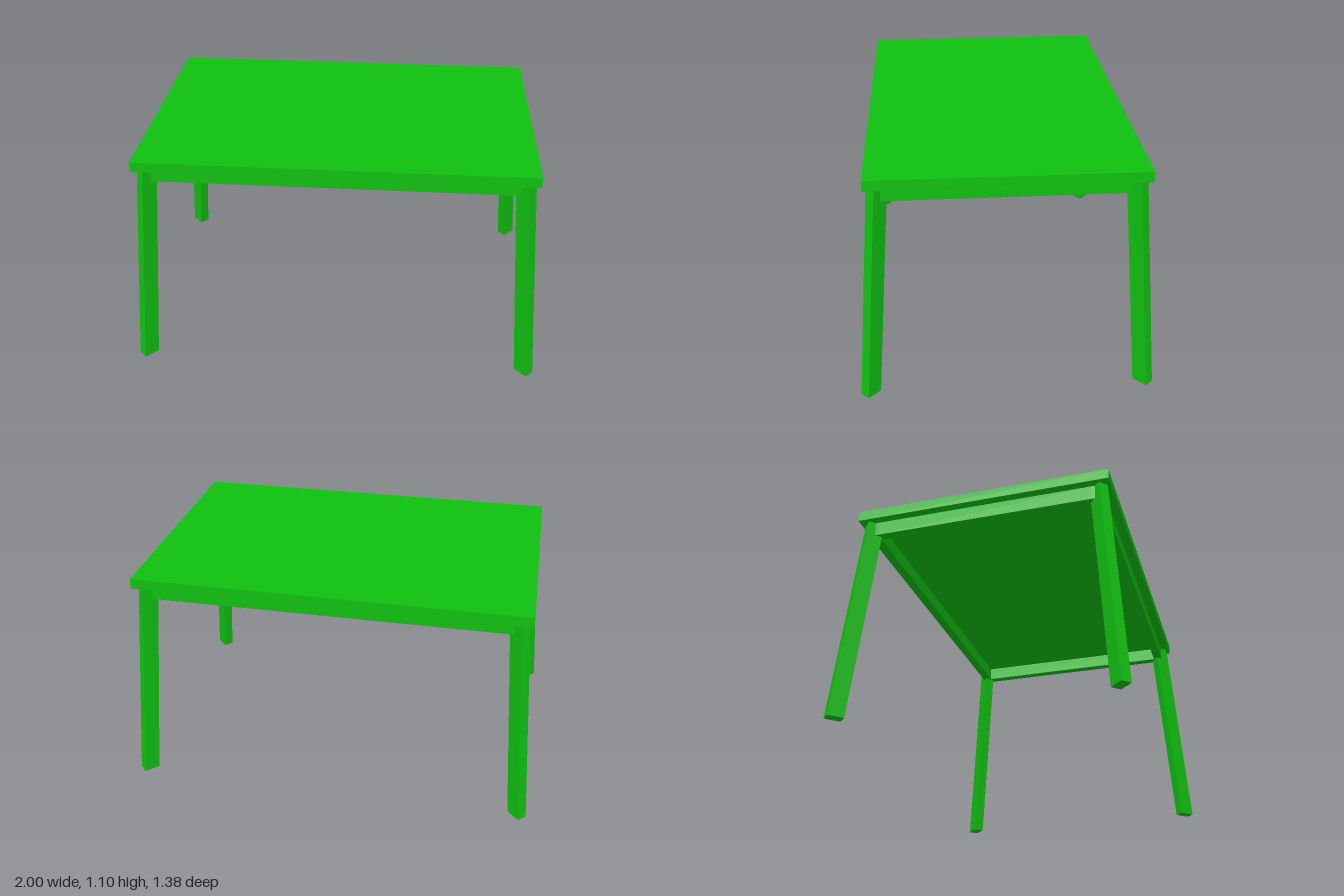
import * as THREE from 'three';

const material = new THREE.MeshStandardMaterial({ color: 0x10c010, flatShading: true });

function box(name, w, h, d, x, y, z) {
  const mesh = new THREE.Mesh(new THREE.BoxGeometry(w, h, d), material);
  mesh.name = name;
  mesh.position.set(x, y, z);
  return mesh;
}

// Diagonal leg, sheared so it splays outward while foot and top stay level
function leg(name, sx, sz) {
  const height = 1.05, splay = 0.08;
  const geo = new THREE.BoxGeometry(0.05, height, 0.078);
  geo.translate(0, height / 2, 0);
  geo.rotateY(Math.atan2(sx, sz));
  const pos = geo.attributes.position;
  for (let i = 0; i < pos.count; i++) {
    const inward = splay * pos.getY(i) / height;
    pos.setX(i, pos.getX(i) + sx * (0.955 - inward));
    pos.setZ(i, pos.getZ(i) + sz * (0.645 - inward));
  }
  geo.computeVertexNormals();
  const mesh = new THREE.Mesh(geo, material);
  mesh.name = name;
  return mesh;
}

export function createModel() {
  const table = new THREE.Group();
  table.name = 'table';

  table.add(box('tableTop', 1.876, 0.05, 1.25, 0, 1.075, 0));

  // Apron rails under the top
  const ax = 0.896, az = 0.581, t = 0.045, h = 0.07, y = 1.015;
  for (const s of [1, -1]) {
    table.add(box(s > 0 ? 'frontApron' : 'backApron', 2 * ax, h, t, 0, y, s * (az - t / 2)));
    table.add(box(s > 0 ? 'leftApron' : 'rightApron', t, h, 2 * (az - t), s * (ax - t / 2), y, 0));
  }

  // Four splayed legs
  for (const sx of [1, -1]) {
    for (const sz of [1, -1]) {
      table.add(leg((sz > 0 ? 'front' : 'back') + (sx > 0 ? 'Left' : 'Right') + 'Leg', sx, sz));
    }
  }
  return table;
}
